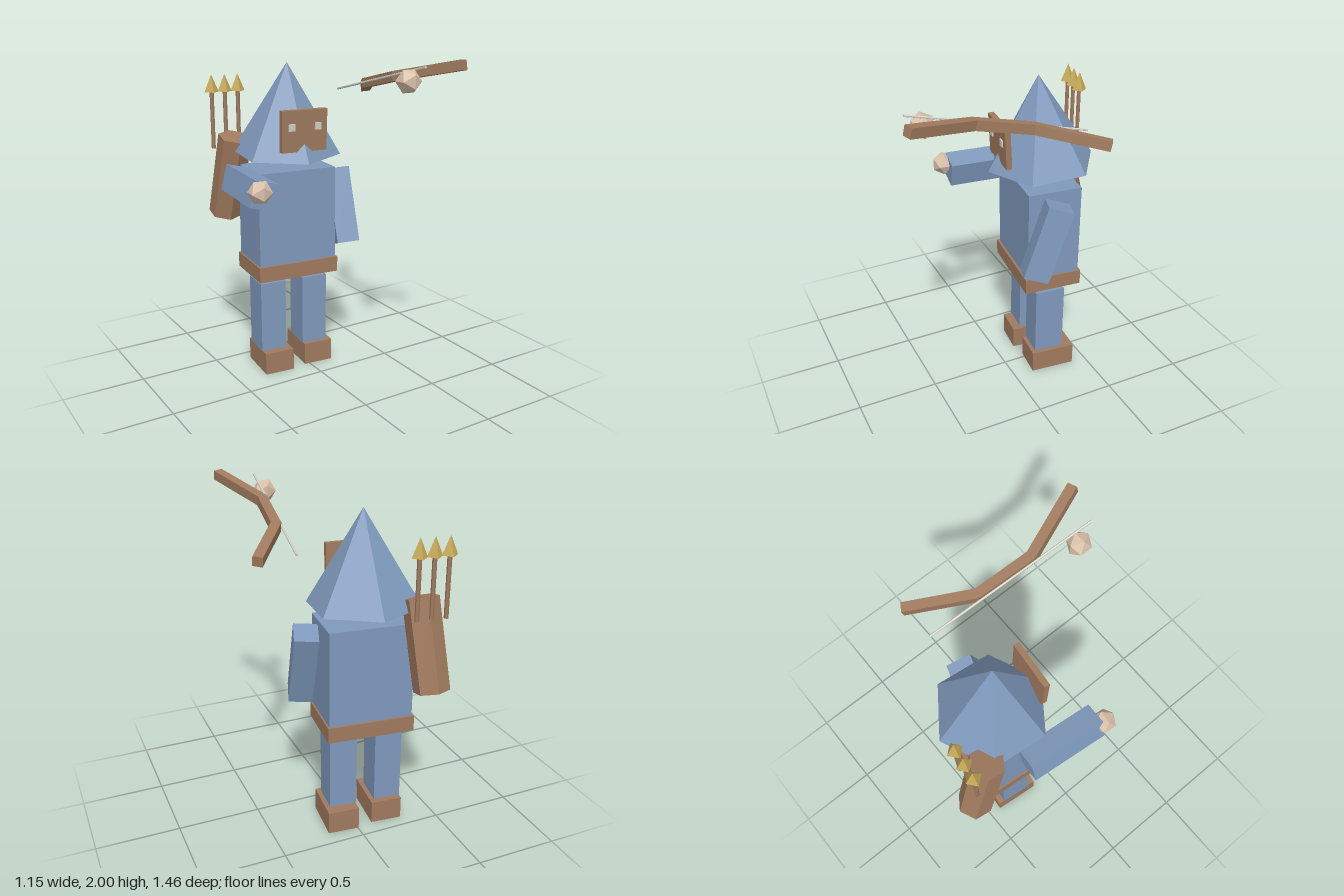
import * as THREE from 'three';

const flat = (name, color) => {
  const m = new THREE.MeshStandardMaterial({ color, flatShading: true });
  m.name = name;
  return m;
};

export function createModel() {
  const blue = flat('blue cloth', 0x7f99bc);
  const brown = flat('brown leather', 0xa07a5e);
  const tan = flat('pale skin', 0xd8bfa8);
  const gold = flat('gold', 0xc9ab58);
  const pale = flat('pale grey', 0xd0d0c8);

  const model = new THREE.Group();
  model.name = 'archer';

  const add = (parent, name, geo, mat, pos, rot = [0, 0, 0]) => {
    const mesh = new THREE.Mesh(geo, mat);
    mesh.name = name;
    mesh.position.set(...pos);
    mesh.rotation.set(...rot);
    parent.add(mesh);
    return mesh;
  };
  const box = (w, h, d) => new THREE.BoxGeometry(w, h, d);

  // Figure, turned slightly to one side
  const figure = new THREE.Group();
  figure.name = 'figure';
  figure.position.set(-0.082, 0, -0.27);
  figure.rotation.y = -0.1;
  model.add(figure);

  // Torso and belt
  add(figure, 'torso', box(0.503, 0.575, 0.332), blue, [0, 1.0175, 0]);
  add(figure, 'belt', box(0.523, 0.095, 0.362), brown, [0, 0.6825, 0]);

  // Legs and shoes
  for (const [side, x, shoeX, shoeZ] of [['right', -0.141, -0.126, 0.008], ['left', 0.141, 0.157, -0.021]]) {
    add(figure, side + 'Leg', box(0.166, 0.45, 0.188), blue, [x, 0.365, 0]);
    add(figure, side + 'Shoe', box(0.19, 0.14, 0.28), brown, [shoeX, 0.07, shoeZ]);
  }

  // Arms: one raised level, one hanging forward
  const arm = box(0.14, 0.47, 0.155);
  add(figure, 'rightArm', arm, blue, [-0.341, 1.26, 0.239], [-Math.PI / 2, 0.25, 0]);
  add(figure, 'leftArm', arm, blue, [0.332, 1.032, 0.083], [-0.325, -0.22, 0]);
  const hand = new THREE.IcosahedronGeometry(0.072, 0);
  add(figure, 'rightHand', hand, tan, [-0.375, 1.29, 0.497]);

  // Hooded head: six-sided cone, face plate and eyes, tipped forward
  const head = new THREE.Group();
  head.name = 'head';
  head.position.set(0, 1.39, -0.005);
  head.rotation.x = 0.048;
  figure.add(head);
  add(head, 'hood', new THREE.ConeGeometry(0.332, 0.545, 6), blue, [0, 0.2725, 0]);
  add(head, 'face', box(0.286, 0.245, 0.034), brown, [0, 0.185, 0.249]);
  for (const s of [-1, 1]) {
    add(head, 'eye', box(0.039, 0.042, 0.009), pale, [s * 0.083, 0.21, 0.27]);
  }

  // Quiver and arrows
  add(figure, 'quiver', new THREE.CylinderGeometry(0.104, 0.104, 0.53, 6), brown,
    [-0.276, 1.215, -0.262], [0.25, 0, -0.065]);
  const shaft = new THREE.CylinderGeometry(0.013, 0.013, 0.36, 6);
  const tip = new THREE.ConeGeometry(0.046, 0.108, 4);
  for (const i of [-1, 0, 1]) {
    const x = -0.27 + i * 0.085;
    add(figure, 'arrowShaft', shaft, brown, [x, 1.565, -0.325]);
    add(figure, 'arrowTip', tip, gold, [x, 1.791, -0.325]);
  }

  // Raised bow: three straight limbs in one tilted plane
  const bow = new THREE.Group();
  bow.name = 'bow';
  model.add(bow);
  const points = [[0.437, 1.969, 0.715], [0.295, 1.883, 0.32], [0.33, 1.811, -0.01], [0.55, 1.738, -0.345]]
    .map((p) => new THREE.Vector3(...p));
  for (let i = 0; i < 3; i++) {
    const [a, b] = [points[i], points[i + 1]];
    const limb = add(bow, 'bowLimb', box(0.056, 0.056, a.distanceTo(b) + 0.01), brown,
      a.clone().lerp(b, 0.5).toArray());
    limb.up.set(0, 0.977, -0.212);
    limb.lookAt(b);
  }

  // Bowstring
  const from = new THREE.Vector3(0.225, 1.963, 0.665);
  const to = new THREE.Vector3(0.333, 1.742, -0.333);
  const string = add(bow, 'bowString', new THREE.CylinderGeometry(0.007, 0.007, from.distanceTo(to), 6), pale,
    from.clone().lerp(to, 0.5).toArray());
  string.quaternion.setFromUnitVectors(new THREE.Vector3(0, 1, 0), to.clone().sub(from).normalize());

  // Hand beside the bow
  add(model, 'leftHand', hand, tan, [0.198, 1.883, 0.56]);

  return model;
}
